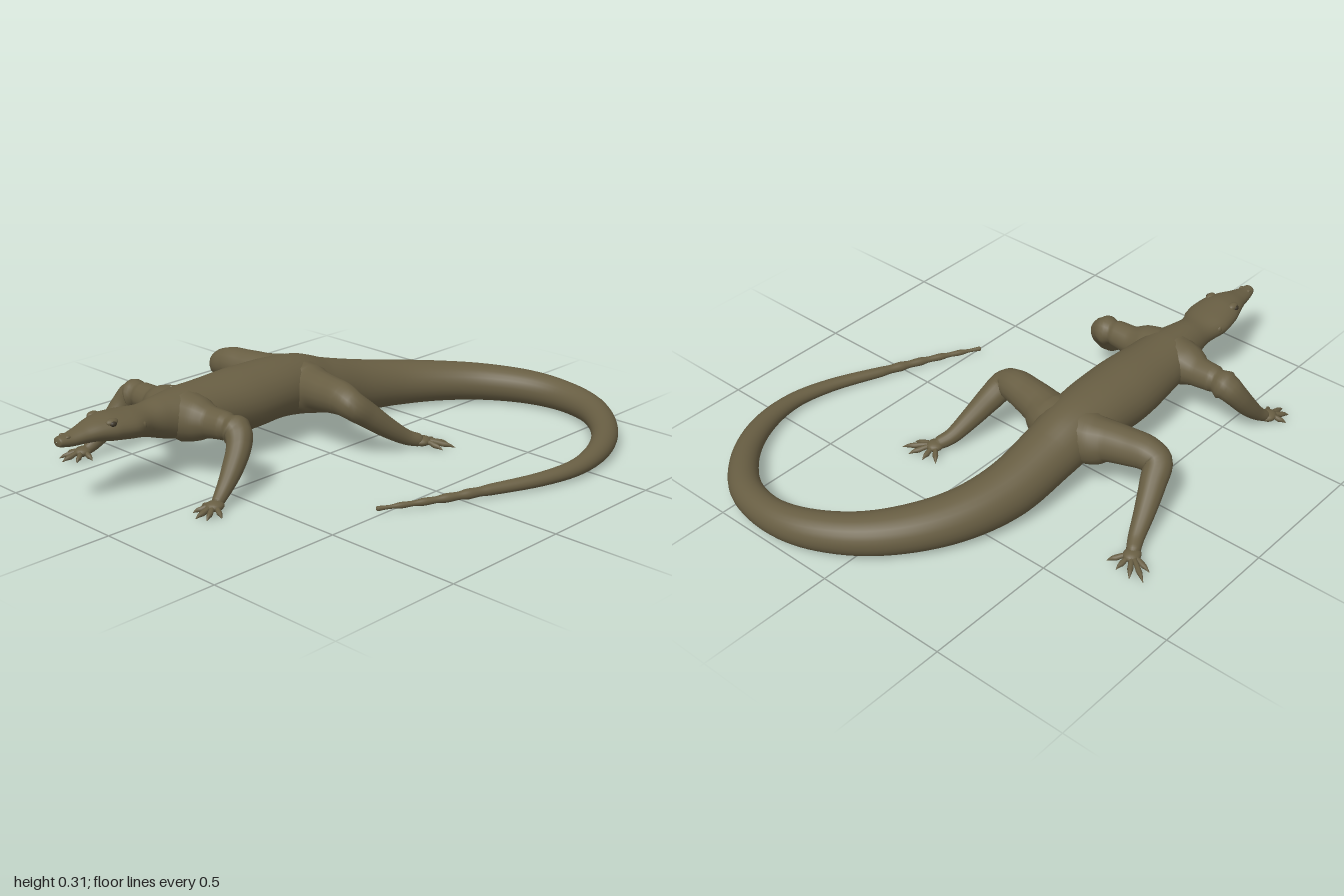
import * as THREE from 'three';

const skin = new THREE.MeshStandardMaterial({ color: 0x685e43 });
skin.name = 'olive skin';
const dark = new THREE.MeshStandardMaterial({ color: 0x3c3527 });
dark.name = 'dark detail';

const MID = -0.25; // x of the body's mirror plane

// Smooth tube through stations [x, y, z, half width, half height]
function loft(name, stations, startSide, sides = 20, steps = 6) {
  const path = new THREE.CatmullRomCurve3(stations.map(s => new THREE.Vector3(s[0], s[1], s[2])));
  const size = new THREE.CatmullRomCurve3(stations.map(s => new THREE.Vector3(s[3], s[4], 0)));
  const rings = (stations.length - 1) * steps;
  const side = startSide.clone();
  const up = new THREE.Vector3();
  const pos = [], idx = [];
  for (let i = 0; i <= rings; i++) {
    const t = i / rings;
    const c = path.getPoint(t), r = size.getPoint(t), dir = path.getTangent(t);
    side.addScaledVector(dir, -side.dot(dir)).normalize();
    up.crossVectors(side, dir);
    for (let j = 0; j < sides; j++) {
      const a = (j / sides) * Math.PI * 2;
      const p = c.clone()
        .addScaledVector(side, Math.cos(a) * Math.max(r.x, 0.001))
        .addScaledVector(up, Math.sin(a) * Math.max(r.y, 0.001));
      pos.push(p.x, p.y, p.z);
      if (i < rings) {
        const k = (j + 1) % sides;
        const A = i * sides + j, B = i * sides + k, C = A + sides, D = B + sides;
        idx.push(A, C, B, B, C, D);
      }
    }
  }
  const g = new THREE.BufferGeometry();
  g.setAttribute('position', new THREE.Float32BufferAttribute(pos, 3));
  g.setIndex(idx);
  g.computeVertexNormals();
  const m = new THREE.Mesh(g, skin);
  m.name = name;
  return m;
}

function blob(name, x, y, z, rx, ry, rz, mat = skin) {
  const m = new THREE.Mesh(new THREE.SphereGeometry(1, 16, 12), mat);
  m.name = name;
  m.position.set(x, y, z);
  m.scale.set(rx, ry, rz);
  return m;
}

// Limb: stations [distance from mid plane, y, z, radius]; toes: [tip distance, tip z]
function limb(name, s, stations, palm, toes) {
  const g = new THREE.Group();
  g.name = name;
  g.add(loft(name + 'Arm', stations.map(([d, y, z, r]) => [MID + s * d, y, z, r, r]), new THREE.Vector3(0, 0, 1), 16));
  const [pd, pz] = palm;
  const px = MID + s * pd;
  g.add(blob(name + 'Palm', px, 0.024, pz, 0.03, 0.018, 0.034));
  for (const [d, z] of toes) {
    const tx = MID + s * d;
    const at = (k, y, w, h) => [px + (tx - px) * k, y, pz + (z - pz) * k, w, h];
    const dir = new THREE.Vector3(z - pz, 0, px - tx).normalize();
    g.add(loft(name + 'Toe', [
      at(0, 0.024, 0.010, 0.010), at(0.4, 0.022, 0.009, 0.009), at(0.62, 0.016, 0.010, 0.010),
      at(0.78, 0.014, 0.007, 0.008), at(1, 0.006, 0.001, 0.001),
    ], dir, 8, 3));
  }
  return g;
}

export function createModel() {
  const model = new THREE.Group();
  model.name = 'lizard';

  // Head, neck and trunk running into the curled tail
  const trunk = [
    [1.0, 0.25, 0.002, 0.002], [0.995, 0.25, 0.02, 0.016], [0.95, 0.247, 0.033, 0.023], [0.9, 0.251, 0.045, 0.03],
    [0.85, 0.255, 0.063, 0.039], [0.8, 0.253, 0.08, 0.047], [0.73, 0.245, 0.088, 0.05],
    [0.65, 0.234, 0.068, 0.056], [0.58, 0.228, 0.076, 0.073], [0.48, 0.218, 0.108, 0.091],
    [0.38, 0.209, 0.117, 0.101], [0.2, 0.2, 0.131, 0.115], [0.05, 0.201, 0.125, 0.111],
    [-0.07, 0.187, 0.115, 0.112],
  ].map(([z, y, w, h]) => [MID, y, z, w, h]);
  const tail = [
    [-0.247, 0.155, -0.185, 0.106, 0.104], [-0.235, 0.11, -0.37, 0.098, 0.1], [-0.19, 0.09, -0.545, 0.09, 0.088],
    [-0.105, 0.08, -0.70, 0.084, 0.078], [0.015, 0.073, -0.83, 0.075, 0.071], [0.175, 0.067, -0.92, 0.066, 0.065],
    [0.32, 0.061, -0.943, 0.058, 0.059], [0.48, 0.055, -0.905, 0.056, 0.053], [0.625, 0.048, -0.785, 0.05, 0.046],
    [0.72, 0.042, -0.625, 0.042, 0.038], [0.757, 0.035, -0.445, 0.032, 0.029], [0.73, 0.03, -0.28, 0.026, 0.024],
    [0.655, 0.025, -0.09, 0.02, 0.019],
  ];
  // Knobbly tail end
  for (let i = 1; i <= 10; i++) {
    const k = i / 10, r = 0.019 - 0.012 * k + (i % 2 ? -0.0015 : 0.0015);
    tail.push([0.655 - 0.17 * k + 0.008 * Math.sin(k * Math.PI), 0.025 - 0.007 * k, -0.09 + 0.365 * k, r, r]);
  }
  tail.push([0.483, 0.018, 0.28, 0.001, 0.001]);
  model.add(loft('bodyAndTail', [...trunk, ...tail], new THREE.Vector3(1, 0, 0), 28));

  for (const s of [1, -1]) {
    const tag = s > 0 ? 'left' : 'right';
    model.add(limb(tag + 'FrontLeg', s, [
      [0.04, 0.215, 0.48, 0.09], [0.1, 0.217, 0.476, 0.076], [0.15, 0.217, 0.468, 0.055], [0.22, 0.22, 0.465, 0.049],
      [0.275, 0.212, 0.465, 0.049], [0.302, 0.178, 0.485, 0.043], [0.322, 0.11, 0.537, 0.036],
      [0.335, 0.055, 0.59, 0.026], [0.345, 0.03, 0.625, 0.02], [0.35, 0.024, 0.645, 0.004],
    ], [0.35, 0.64], [[0.29, 0.645], [0.31, 0.70], [0.355, 0.728], [0.392, 0.712], [0.412, 0.665]]));
    model.add(limb(tag + 'HindLeg', s, [
      [0.03, 0.19, -0.06, 0.1], [0.1, 0.195, -0.055, 0.09], [0.15, 0.205, -0.043, 0.073], [0.22, 0.21, -0.03, 0.066],
      [0.29, 0.213, -0.02, 0.06], [0.337, 0.2, -0.02, 0.052], [0.363, 0.155, -0.075, 0.046],
      [0.39, 0.095, -0.15, 0.037], [0.415, 0.045, -0.225, 0.028], [0.435, 0.03, -0.265, 0.024], [0.447, 0.024, -0.29, 0.004],
    ], [0.442, -0.28], [[0.385, -0.34], [0.435, -0.355], [0.495, -0.362], [0.54, -0.347], [0.525, -0.295]]));

    // Eyes, ears and nostrils
    model.add(blob(tag + 'Brow', MID + s * 0.05, 0.283, 0.812, 0.016, 0.013, 0.024));
    model.add(blob(tag + 'Eye', MID + s * 0.06, 0.28, 0.815, 0.011, 0.01, 0.013, dark));
    model.add(blob(tag + 'Ear', MID + s * 0.073, 0.248, 0.7, 0.009, 0.014, 0.014));
    model.add(blob(tag + 'Nostril', MID + s * 0.016, 0.263, 0.965, 0.008, 0.006, 0.01));
  }
  return model;
}
